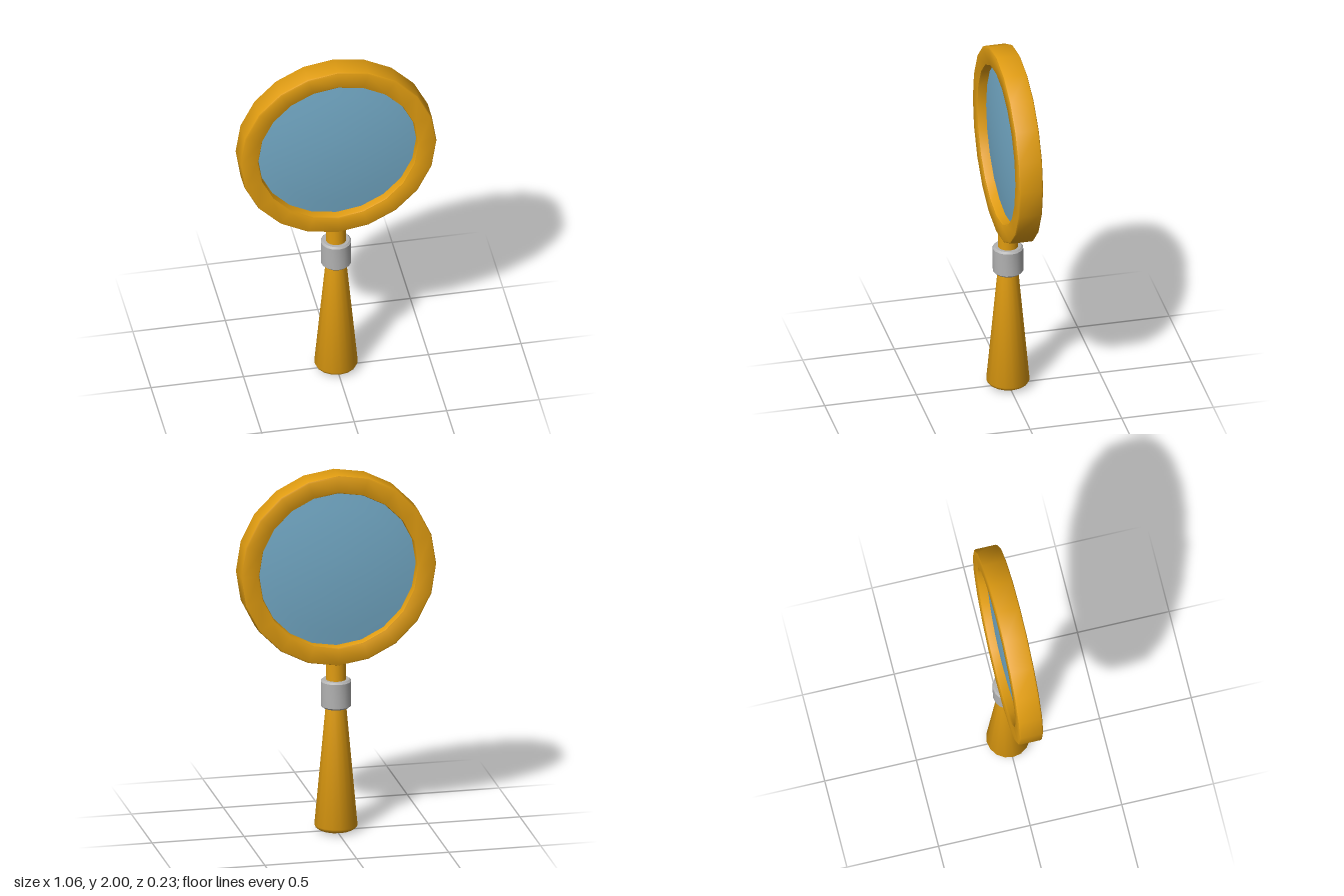
import * as THREE from 'three';
import { toCreasedNormals } from 'three/addons/utils/BufferGeometryUtils.js';

const wood = new THREE.MeshStandardMaterial({ name: 'amber wood', color: 0xe09c11 });
const metal = new THREE.MeshStandardMaterial({ name: 'grey metal', color: 0xb2b2b2 });
const lensBlue = new THREE.MeshStandardMaterial({ name: 'blue glass', color: 0x74abc8 });

const RING_Y = 1.468;

// Turned part from [radius, height] pairs; smooth around, sharp at profile corners
function turned(name, profile, sides, material, crease = 0.5) {
  const points = profile.map(([r, y]) => new THREE.Vector2(r, y));
  const geometry = toCreasedNormals(new THREE.LatheGeometry(points, sides), crease);
  const mesh = new THREE.Mesh(geometry, material);
  mesh.name = name;
  return mesh;
}

export function createModel() {
  const model = new THREE.Group();
  model.name = 'magnifyingGlass';

  // Rim and lens are turned about y, then tipped to face the front
  const head = new THREE.Group();
  head.name = 'head';
  head.position.y = RING_Y;
  head.rotation.x = Math.PI / 2;
  model.add(head);

  // Faceted rim with softly bevelled edges
  const outer = 0.532, inner = 0.43, half = 0.066, b = 0.011;
  head.add(turned('rim', [
    [outer, -half + b], [outer, half - b], [outer - b * 0.3, half - b * 0.3],
    [outer - b, half], [inner + b, half], [inner + b * 0.3, half - b * 0.3],
    [inner, half - b], [inner, -half + b], [inner + b * 0.3, -half + b * 0.3],
    [inner + b, -half], [outer - b, -half], [outer - b * 0.3, -half + b * 0.3],
    [outer, -half + b],
  ], 20, wood, 0.6));

  // Gently domed lens, seated inside the rim
  const lensProfile = [];
  for (let i = -6; i <= 6; i++) {
    if (i === 0) continue;
    const t = (6 - Math.abs(i)) / 5;
    lensProfile.push([0.434 * t, Math.sign(i) * (0.015 + 0.03 * (1 - t * t))]);
  }
  head.add(turned('lens', lensProfile, 20, lensBlue));

  // Neck between collar and rim
  model.add(turned('neck', [[0.055, 0.7], [0.055, 0.955], [0, 0.955]], 16, wood));

  // Bevelled collar
  model.add(turned('collar', [
    [0, 0.69], [0.072, 0.69], [0.082, 0.7], [0.082, 0.835], [0.072, 0.845], [0, 0.845],
  ], 16, metal));

  // Flared handle with a shallow rounded butt
  model.add(turned('handle', [
    [0, 0], [0.06, 0.004], [0.095, 0.012], [0.11, 0.022], [0.116, 0.036], [0.055, 0.7],
  ], 16, wood, 0.7));

  return model;
}
